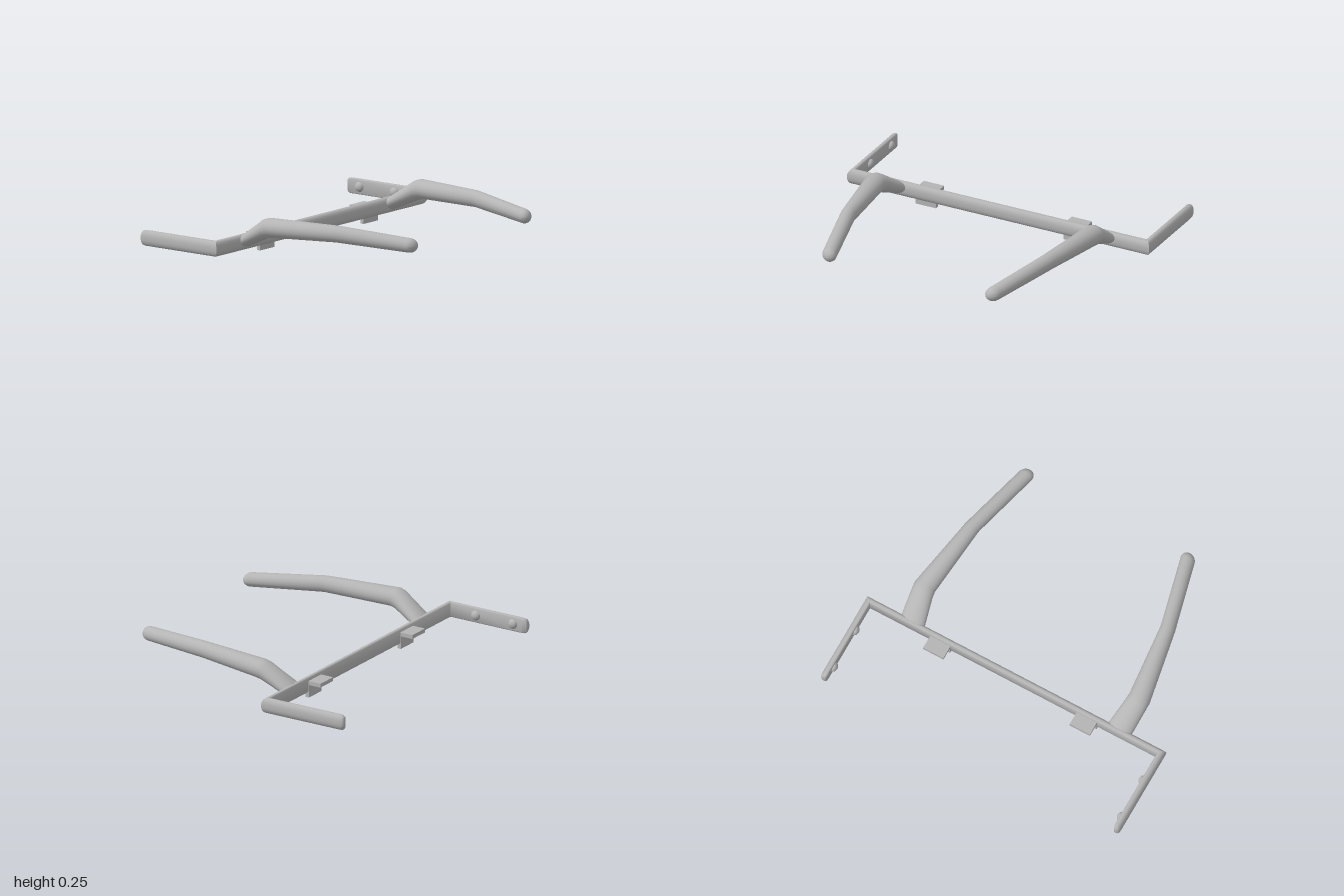
import * as THREE from 'three';
import { toCreasedNormals } from 'three/addons/utils/BufferGeometryUtils.js';

const metal = new THREE.MeshStandardMaterial({ color: 0xb4b4b4 });
metal.name = 'grey metal';

// Skin a row of closed rings, each an array of [x, y, z]
function loft(rings, crease) {
  const n = rings[0].length, index = [];
  for (let i = 0; i < rings.length - 1; i++) {
    for (let j = 0; j < n; j++) {
      const a = i * n + j, b = i * n + (j + 1) % n;
      index.push(a, b, b + n, a, b + n, a + n);
    }
  }
  const geo = new THREE.BufferGeometry();
  geo.setAttribute('position', new THREE.Float32BufferAttribute(rings.flat(2), 3));
  geo.setIndex(index);
  return toCreasedNormals(geo, crease);
}

function add(parent, name, geo, x = 0, y = 0, z = 0) {
  const mesh = new THREE.Mesh(geo, metal);
  mesh.name = name;
  mesh.position.set(x, y, z);
  parent.add(mesh);
  return mesh;
}

// U-shaped rail: flat inside, rounded outside, mitred corners and rounded ends
function railGeometry() {
  const half = [[0, 0.04], [0.005, 0.046], [0.012, 0.0475], [0.02, 0.046],
    [0.028, 0.041], [0.035, 0.031], [0.039, 0.018], [0.04, 0.006]];
  const profile = [...half, ...half.slice().reverse().map(([d, y]) => [d, -y])];
  const ring = (side, z, k) => profile.map(([d, y]) => {
    const depth = 0.02 + (d - 0.02) * k;
    return [side * (0.96 + depth), 0.077 + y * k, z === null ? -0.32 + depth : z];
  });
  const ends = [[-0.85, 0], [-0.85, 0.6], [-0.845, 0.82], [-0.836, 0.95], [-0.82, 1], [null, 1]];
  return loft([
    ...ends.map(([z, k]) => ring(-1, z, k)),
    ...ends.slice().reverse().map(([z, k]) => ring(1, z, k)),
  ], 0.7);
}

// Bent, tapering arm with a domed tip
function armGeometry(side) {
  // x, y, z, half width, half height, lean of the section
  const stations = [
    [0.69, 0.083, -0.30, 0, 0, 0],
    [0.69, 0.083, -0.30, 0.079, 0.042, 0],
    [0.715, 0.178, -0.13, 0.068, 0.056, -0.25],
    [0.718, 0.188, -0.095, 0.067, 0.057, -0.25],
    [0.656, 0.197, 0.35, 0.047, 0.05, -0.05],
    [0.652, 0.196, 0.37, 0.047, 0.05, -0.05],
    [0.543, 0.168, 0.80, 0.046, 0.043, 0],
  ];
  for (let i = 1; i <= 6; i++) {
    const a = i / 6 * Math.PI / 2, c = i === 6 ? 0 : Math.cos(a), s = Math.sin(a);
    stations.push([0.543 - 0.008 * s, 0.168 - 0.002 * s, 0.80 + 0.045 * s, 0.046 * c, 0.043 * c, 0]);
  }
  const n = 28;
  return loft(stations.map(([x, y, z, rx, ry, lean]) => Array.from({ length: n }, (_, j) => {
    const a = j / n * Math.PI * 2, dy = ry * Math.sin(a);
    return [side * x + rx * Math.cos(a), y + dy, z + lean * dy];
  })), 0.9);
}

export function createModel() {
  const model = new THREE.Group();
  model.name = 'bracketFrame';
  add(model, 'rail', railGeometry());

  for (const side of [-1, 1]) {
    const label = side > 0 ? 'left' : 'right';
    add(model, label + 'Arm', armGeometry(side));

    // L-shaped mounting tab behind the rail
    const tab = new THREE.Group();
    tab.name = label + 'Tab';
    tab.position.x = side * 0.49;
    add(tab, 'tabUpright', new THREE.BoxGeometry(0.135, 0.1, 0.024), 0, 0.05, -0.313);
    add(tab, 'tabShelf', new THREE.BoxGeometry(0.135, 0.024, 0.09), 0, 0.09, -0.36);
    model.add(tab);

    // Domed bolt heads on the inner face
    for (const z of [-0.755, -0.495]) {
      const bolt = add(model, label + 'Bolt',
        new THREE.SphereGeometry(0.03, 20, 8, 0, Math.PI * 2, 0, Math.PI / 2), side * 0.962, 0.077, z);
      bolt.scale.y = 0.8;
      bolt.rotation.z = side * Math.PI / 2;
    }
  }
  return model;
}
